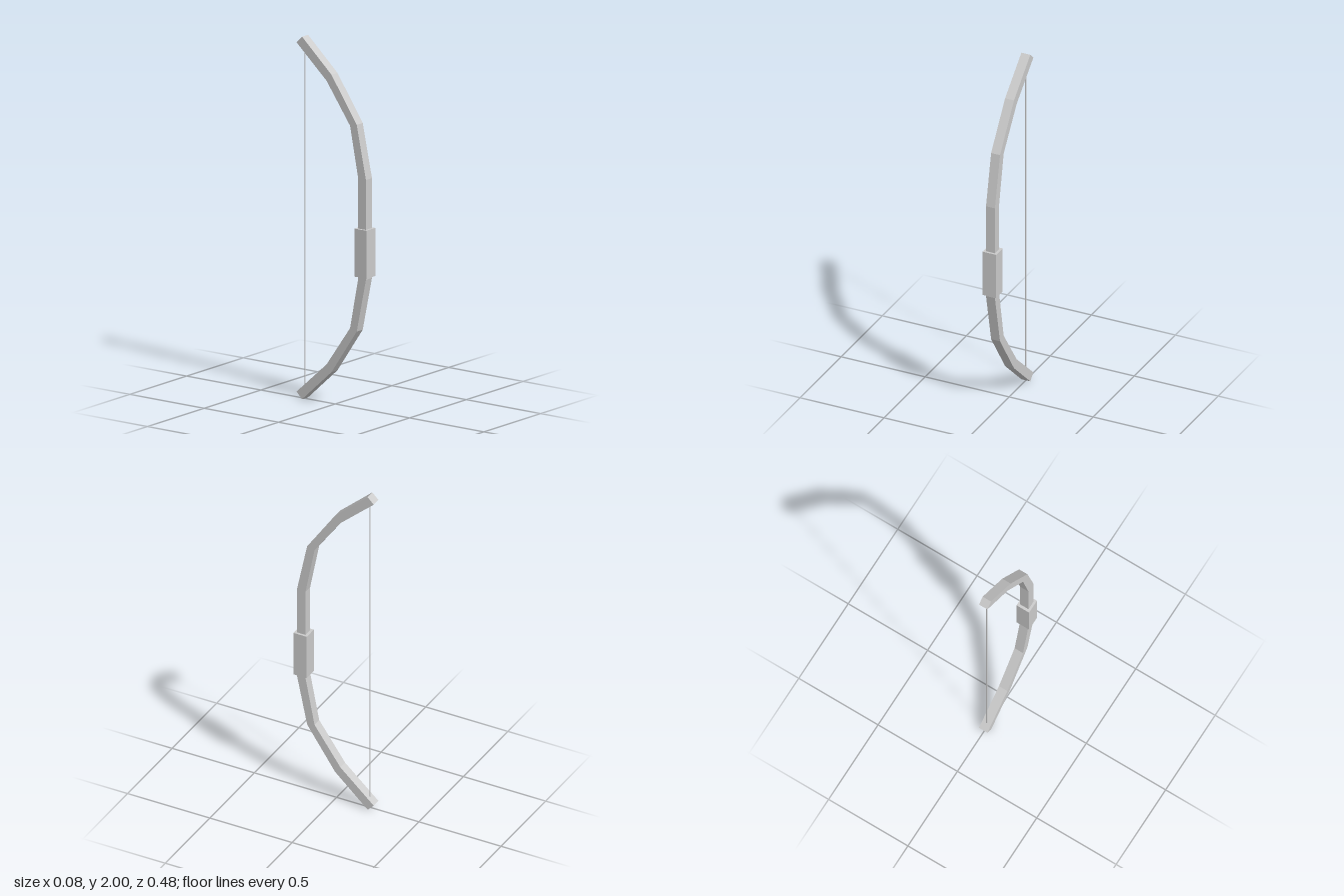
import * as THREE from 'three';

export function createModel() {
  const bow = new THREE.Group();
  bow.name = 'bow';
  const material = new THREE.MeshStandardMaterial({ color: 0xcccccc, flatShading: true });

  const add = (name, geometry, x, y, z) => {
    const mesh = new THREE.Mesh(geometry, material);
    mesh.name = name;
    mesh.position.set(x, y, z);
    bow.add(mesh);
  };

  // Curved stave: upper half of the side outline as [z, y], mirrored about y = 1
  const width = 0.053;
  const outer = [[0.227, 1.275], [0.165, 1.57], [-0.005, 1.82], [-0.203, 2]];
  const inner = [[-0.24, 1.963], [-0.038, 1.782], [0.12, 1.558], [0.175, 1.275]];
  const upper = [...outer, ...inner];
  const lower = upper.map(([z, y]) => [z, 2 - y]).reverse();
  const outline = [...upper, ...lower].map(([z, y]) => new THREE.Vector2(-z, y));
  const stave = new THREE.ExtrudeGeometry(new THREE.Shape(outline), { depth: width, bevelEnabled: false });
  stave.translate(0, 0, -width / 2).rotateY(Math.PI / 2);
  add('stave', stave, 0, 0, 0);

  // Hand grip, just below the middle
  add('grip', new THREE.BoxGeometry(0.08, 0.265, 0.08), 0, 0.8675, 0.2);

  // String in two halves meeting at the nocking point
  const half = 0.96;
  for (const [name, side] of [['upperString', 1], ['lowerString', -1]]) {
    add(name, new THREE.BoxGeometry(0.005, half, 0.005), 0, 1 + side * half / 2, -0.203);
  }

  return bow;
}
